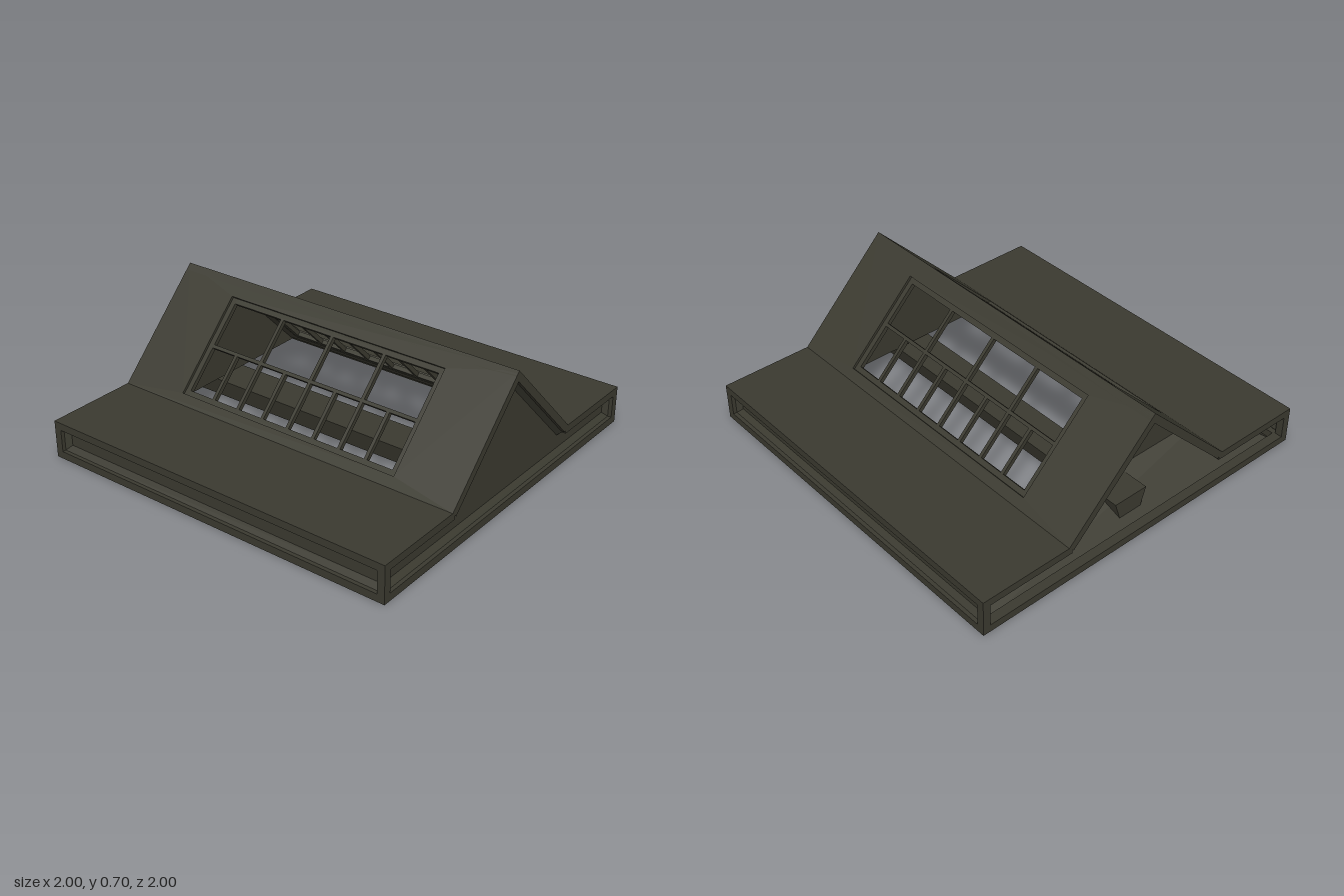
import * as THREE from 'three';

const paint = new THREE.MeshStandardMaterial({ color: 0x3b3a30, flatShading: true, side: THREE.DoubleSide });
paint.name = 'dark bronze';

function add(parent, geometry, name, x = 0, y = 0, z = 0) {
  const mesh = new THREE.Mesh(geometry, paint);
  mesh.name = name;
  mesh.position.set(x, y, z);
  parent.add(mesh);
  return mesh;
}

// Box given by its lower and upper limits on each axis
function bar(parent, name, x0, x1, y0, y1, z0, z1) {
  return add(parent, new THREE.BoxGeometry(x1 - x0, y1 - y0, z1 - z0), name,
    (x0 + x1) / 2, (y0 + y1) / 2, (z0 + z1) / 2);
}

const toShape = (pts) => new THREE.Shape(pts.map(([x, y]) => new THREE.Vector2(x, y)));

// Sunk panel: a bevel from the outer loop (z = 0) to a flat inner loop at -depth
function sunkPanel(outer, inner, depth, name) {
  const group = new THREE.Group();
  group.name = name;
  const pos = [];
  outer.forEach((a, i) => {
    const j = (i + 1) % outer.length;
    const b = outer[j], c = inner[j], d = inner[i];
    pos.push(...a, 0, ...b, 0, ...c, -depth, ...a, 0, ...c, -depth, ...d, -depth);
  });
  const bevel = new THREE.BufferGeometry();
  bevel.setAttribute('position', new THREE.Float32BufferAttribute(pos, 3));
  bevel.computeVertexNormals();
  add(group, bevel, 'panelBevel');
  add(group, new THREE.ShapeGeometry(toShape(inner)), 'panelFace', 0, 0, -depth);
  return group;
}

const rect = (x, y0, y1) => [[-x, y0], [x, y0], [x, y1], [-x, y1]];

// One sloping roof side; local x runs along the ridge, y down the slope, z outward
function roofSlope() {
  const group = new THREE.Group();
  const L = Math.SQRT1_2, T = 0.04;
  const top = 0.099, bottom = 0.65, half = 0.65;

  const shape = toShape(rect(1, 0, L));
  shape.holes.push(new THREE.Path(rect(half, top, bottom).reverse().map(([x, y]) => new THREE.Vector2(x, y))));
  add(group, new THREE.ExtrudeGeometry(shape, { depth: T, bevelEnabled: false }), 'roofSlope', 0, 0, -T);

  // Sunken window frame
  const z0 = -0.038, z1 = -0.014, f = 0.028;
  bar(group, 'frameTop', -half, half, top, top + f, z0, z1);
  bar(group, 'frameBottom', -half, half, bottom - f, bottom, z0, z1);
  for (const s of [-1, 1]) {
    const x = s * (half - f / 2);
    bar(group, 'frameEnd', x - f / 2, x + f / 2, top, bottom, z0, z1);
  }

  // Glazing bars: large upper panes, half-width lower panes
  const w = 0.009, mid = 0.37;
  bar(group, 'longGlazingBar', -half, half, mid - w, mid + w, z0, z1);
  for (let i = -3; i <= 3; i++) {
    const x = i * 0.156;
    bar(group, 'glazingBar', x - w, x + w, i % 2 ? mid : top, bottom, z0, z1);
  }
  group.matrixAutoUpdate = true;
  group.quaternion.setFromRotationMatrix(new THREE.Matrix4().makeBasis(
    new THREE.Vector3(0, 0, 1), new THREE.Vector3(L, -L, 0), new THREE.Vector3(L, L, 0)));
  group.position.y = 0.7;
  group.name = 'glazedSlope';
  return group;
}

export function createModel() {
  const model = new THREE.Group();
  model.name = 'roofLantern';

  // Two mirrored halves: slope, flat roof, edge rail and sunk side panel
  for (const turn of [0, Math.PI]) {
    const side = new THREE.Group();
    side.name = turn ? 'rightHalf' : 'leftHalf';
    side.rotation.y = turn;
    side.add(roofSlope());
    bar(side, 'flatRoof', 0.48, 1, 0.16, 0.2, -1, 1);
    bar(side, 'sideRail', 0.95, 1, 0, 0.04, -1, 1);
    for (const s of [-1, 1]) {
      const z = s * 0.98;
      bar(side, 'cornerPost', 0.96, 1, 0, 0.2, z - 0.02, z + 0.02);
    }
    const panel = sunkPanel(rect(0.96, 0.04, 0.16), rect(0.935, 0.065, 0.14), 0.025, 'sidePanel');
    panel.rotation.y = Math.PI / 2;
    panel.position.x = 0.98;
    side.add(panel);
    model.add(side);
  }

  // Bottom rails at the front and the open back
  bar(model, 'frontRail', -1, 1, 0, 0.04, 0.95, 1);
  bar(model, 'backRail', -1, 1, 0, 0.04, -1, -0.95);

  // Sunk gable panel on the front only
  const gable = sunkPanel(
    [[-0.96, 0.04], [0.96, 0.04], [0.96, 0.16], [0.483, 0.16], [0, 0.643], [-0.483, 0.16], [-0.96, 0.16]],
    [[-0.935, 0.065], [0.935, 0.065], [0.935, 0.14], [0.473, 0.14], [0, 0.613], [-0.473, 0.14], [-0.935, 0.14]],
    0.025, 'frontGablePanel');
  gable.position.z = 0.98;
  model.add(gable);

  // Splayed lining around the open underside
  const lining = new THREE.CylinderGeometry(0.72 * Math.SQRT2, 0.95 * Math.SQRT2, 0.16, 4, 1, true);
  lining.rotateY(Math.PI / 4);
  add(model, lining, 'splayedLining', 0, 0.08, 0);

  // Inner gable walls at both ends of the light well
  const wall = new THREE.ShapeGeometry(toShape([[-0.5, 0.16], [0.5, 0.16], [0, 0.66]]));
  for (const z of [-0.72, 0.72]) add(model, wall, 'innerGableWall', 0, 0, z);

  // Tapered tie beam under the ridge
  const beam = new THREE.ExtrudeGeometry(
    toShape([[-0.065, 0.03], [0.065, 0.03], [0.1, 0.14], [-0.1, 0.14]]), { depth: 1.78, bevelEnabled: false });
  add(model, beam, 'tieBeam', 0, 0, -0.89);

  return model;
}
